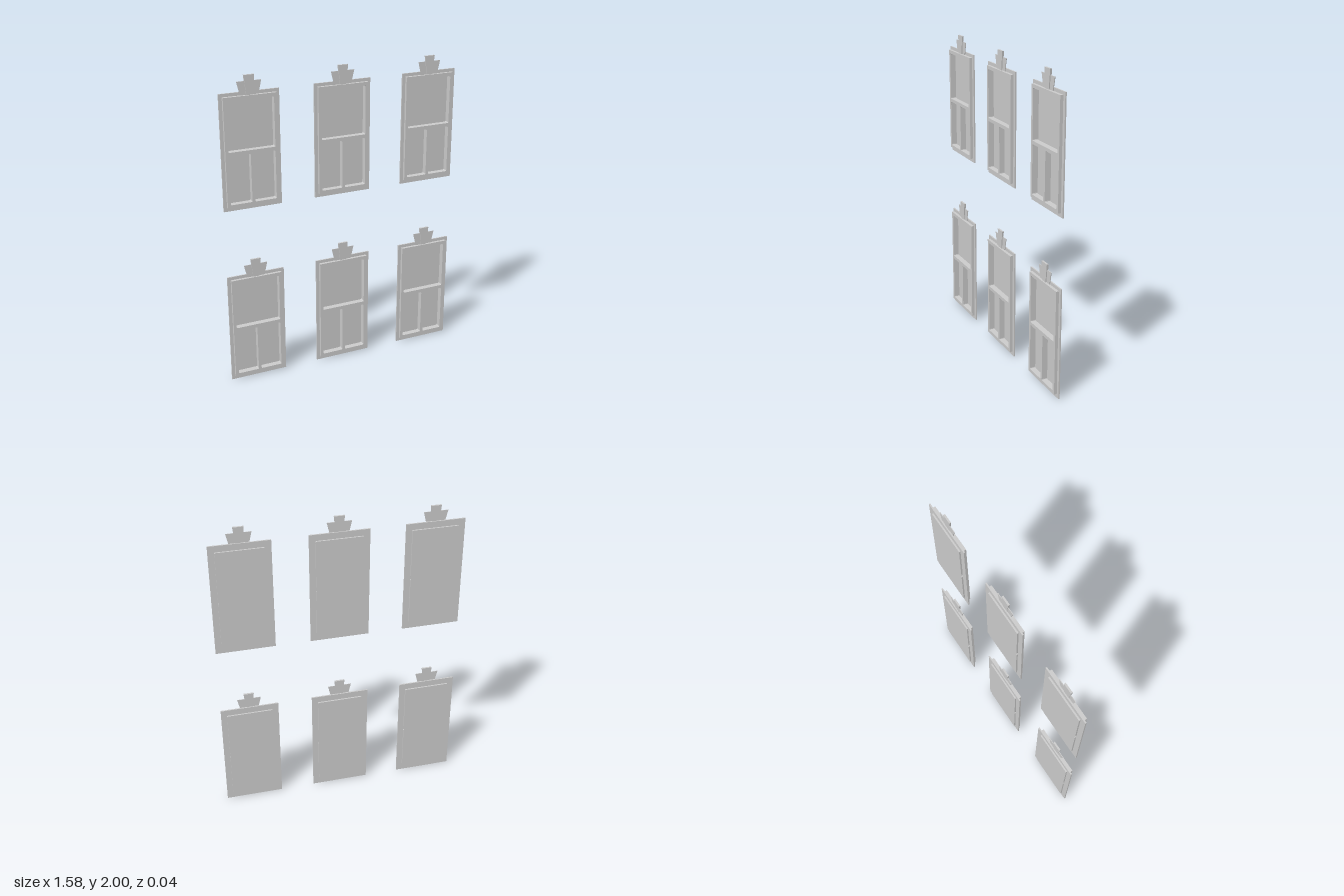
import * as THREE from 'three';

const FLANGE_BACK = -0.009, BACK = -0.019, FRONT = 0.019;
const mat = new THREE.MeshStandardMaterial({ color: 0xcccccc, flatShading: true, side: THREE.DoubleSide });

// Openings as [x0, y0, x1, y1]: one large upper light, two lower ones
const OPENINGS = [
  [-0.148, 0.376, 0.148, 0.688],
  [-0.148, 0.045, -0.0095, 0.354],
  [0.0095, 0.045, 0.148, 0.354],
];

function rect(path, [x0, y0, x1, y1], r = 0) {
  if (!r) {
    path.moveTo(x0, y0).lineTo(x1, y0).lineTo(x1, y1).lineTo(x0, y1).closePath();
    return path;
  }
  path.moveTo(x0 + r, y0).lineTo(x1 - r, y0).quadraticCurveTo(x1, y0, x1, y0 + r);
  path.lineTo(x1, y1 - r).quadraticCurveTo(x1, y1, x1 - r, y1);
  path.lineTo(x0 + r, y1).quadraticCurveTo(x0, y1, x0, y1 - r);
  path.lineTo(x0, y0 + r).quadraticCurveTo(x0, y0, x0 + r, y0);
  return path;
}

const grow = ([x0, y0, x1, y1], d) => [x0 - d, y0 - d, x1 + d, y1 + d];

function slab(name, shape, z0, z1) {
  const geo = new THREE.ExtrudeGeometry(shape, { depth: z1 - z0, bevelEnabled: false, curveSegments: 3 });
  const mesh = new THREE.Mesh(geo.translate(0, 0, z0), mat);
  mesh.name = name;
  return mesh;
}

function pierced(outer) {
  const shape = rect(new THREE.Shape(), outer);
  OPENINGS.forEach((o) => shape.holes.push(rect(new THREE.Path(), o, 0.007)));
  return shape;
}

const poly = (pts) => new THREE.Shape(pts.map(([x, y]) => new THREE.Vector2(x, y)));

function createWindow() {
  const g = new THREE.Group();
  g.name = 'window';

  // Flat surround and the raised sash in front of it
  g.add(slab('surround', pierced([-0.188, 0, 0.188, 0.73]), FLANGE_BACK, 0));
  g.add(slab('raisedSash', pierced([-0.167, 0.026, 0.167, 0.71]), 0, FRONT));

  // Reveals running back from each opening to the glass
  OPENINGS.forEach((o) => {
    const ring = rect(new THREE.Shape(), grow(o, 0.0015), 0.007);
    ring.holes.push(rect(new THREE.Path(), o, 0.007));
    g.add(slab('reveal', ring, BACK, FLANGE_BACK));
  });

  // One thin pane behind all three openings
  const pane = new THREE.Mesh(new THREE.PlaneGeometry(0.296, 0.643), mat);
  pane.name = 'glassPane';
  pane.position.set(0, 0.3665, BACK);
  g.add(pane);

  // Keystone with a tapered wing on each side
  g.add(slab('keystone', poly([[-0.02, 0.71], [0.02, 0.71], [0.033, 0.83], [-0.033, 0.83]]), -0.002, 0.01));
  for (const s of [-1, 1]) {
    g.add(slab('keystoneWing', poly([[s * 0.02, 0.71], [s * 0.057, 0.71], [s * 0.077, 0.793], [s * 0.029, 0.793]]), 0, 0.004));
  }
  return g;
}

export function createModel() {
  const model = new THREE.Group();
  model.name = 'windowSet';
  const unit = createWindow();
  for (const y of [0, 1.17]) {
    for (const x of [-0.6, 0, 0.6]) {
      const w = unit.clone();
      w.position.set(x, y, 0);
      model.add(w);
    }
  }
  return model;
}
